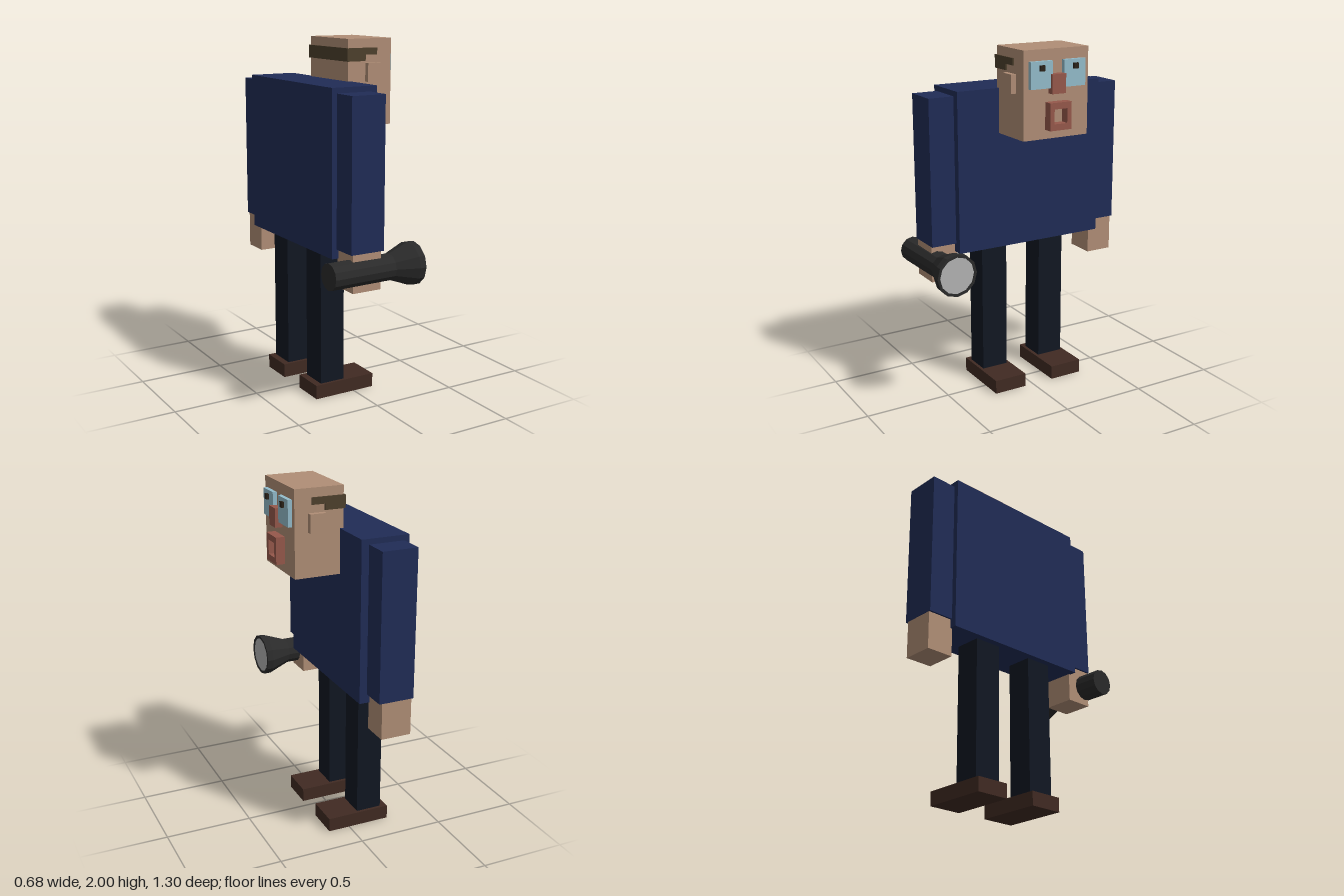
import * as THREE from 'three';

const mat = (color) => new THREE.MeshStandardMaterial({ color, flatShading: true });

export function createModel() {
  const model = new THREE.Group();
  model.name = 'officer';

  const skin = mat(0xb08e76), shirt = mat(0x202c56), trousers = mat(0x111722);
  const leather = mat(0x402a22), hair = mat(0x4d402d), eyeBlue = mat(0x93bccb);
  const dark = mat(0x2a2218), lip = mat(0x96584b), black = mat(0x2a2a2a), glass = mat(0xb2b2b2);

  // Box given by its extents along each axis
  function box(name, material, [x0, x1], [y0, y1], [z0, z1], parent = model) {
    const mesh = new THREE.Mesh(new THREE.BoxGeometry(x1 - x0, y1 - y0, z1 - z0), material);
    mesh.position.set((x0 + x1) / 2, (y0 + y1) / 2, (z0 + z1) / 2);
    mesh.name = name;
    parent.add(mesh);
    return mesh;
  }

  // Body, facing +x and mirrored about z = mid
  const mid = -0.0385;
  box('torso', shirt, [-0.247, 0.028], [0.86, 1.77], [-0.497, 0.42]);
  for (const [side, s] of [['right', 1], ['left', -1]]) {
    const span = (a, b) => [mid + s * a, mid + s * b].sort((p, q) => p - q);
    box(side + 'Arm', shirt, [-0.218, -0.015], [0.91, 1.74], span(0.457, 0.607));
    box(side + 'Hand', skin, [-0.207, -0.032], [0.70, 0.915], span(0.447, 0.605));
    box(side + 'Leg', trousers, [-0.208, -0.058], [0.08, 0.87], span(0.112, 0.272));
    box(side + 'Shoe', leather, [-0.247, 0.128], [0, 0.08], span(0.092, 0.29));
    // Face details in pairs
    box(side + 'Ear', skin, [0.12, 0.211], [1.765, 1.868], span(0.2, 0.232));
    box(side + 'Eye', eyeBlue, [0.287, 0.311], [1.795, 1.94], span(0.036, 0.171));
    box(side + 'Pupil', dark, [0.31, 0.325], [1.89, 1.92], span(0.09, 0.12));
    // Hair band: deep behind, thinner toward the temple
    box(side + 'HairBack', hair, [0, 0.117], [1.878, 1.95], span(0.2, 0.211));
    box(side + 'HairTemple', hair, [0.117, 0.192], [1.912, 1.95], span(0.2, 0.211));
  }
  box('hairRear', hair, [0, 0.012], [1.878, 1.95], [mid - 0.21, mid + 0.21]);
  box('head', skin, [0.008, 0.288], [1.52, 2], [-0.241, 0.164]);
  box('nose', lip, [0.287, 0.329], [1.765, 1.87], [-0.075, 0.01]);

  // Open mouth: square ring of lips
  const lips = new THREE.Shape([[-0.067, -0.075], [0.067, -0.075], [0.067, 0.075], [-0.067, 0.075]]
    .map(([x, y]) => new THREE.Vector2(x, y)));
  lips.holes.push(new THREE.Path([[-0.04, -0.04], [-0.04, 0.04], [0.04, 0.04], [0.04, -0.04]]
    .map(([x, y]) => new THREE.Vector2(x, y))));
  const mouth = new THREE.Mesh(
    new THREE.ExtrudeGeometry(lips, { depth: 0.052, bevelEnabled: false }), lip);
  mouth.rotation.y = Math.PI / 2;
  mouth.position.set(0.287, 1.645, mid);
  mouth.name = 'mouth';
  model.add(mouth);

  // Torch held in the right hand, pointing forward
  const torch = new THREE.Group();
  torch.name = 'torch';
  const profile = [[0, -0.273], [0.074, -0.273], [0.074, 0.11], [0.121, 0.235],
    [0.121, 0.273], [0.105, 0.273], [0.105, 0.265]].map(([r, y]) => new THREE.Vector2(r, y));
  const casing = new THREE.Mesh(new THREE.LatheGeometry(profile, 12), black);
  casing.name = 'torchCasing';
  const lens = new THREE.Mesh(new THREE.CylinderGeometry(0.106, 0.106, 0.01, 12), glass);
  lens.position.y = 0.264;
  lens.name = 'torchLens';
  torch.add(casing, lens);
  torch.rotation.set(0, 0.025, -Math.PI / 2, 'YXZ');
  torch.position.set(-0.068, 0.806, 0.535);
  model.add(torch);

  return model;
}
